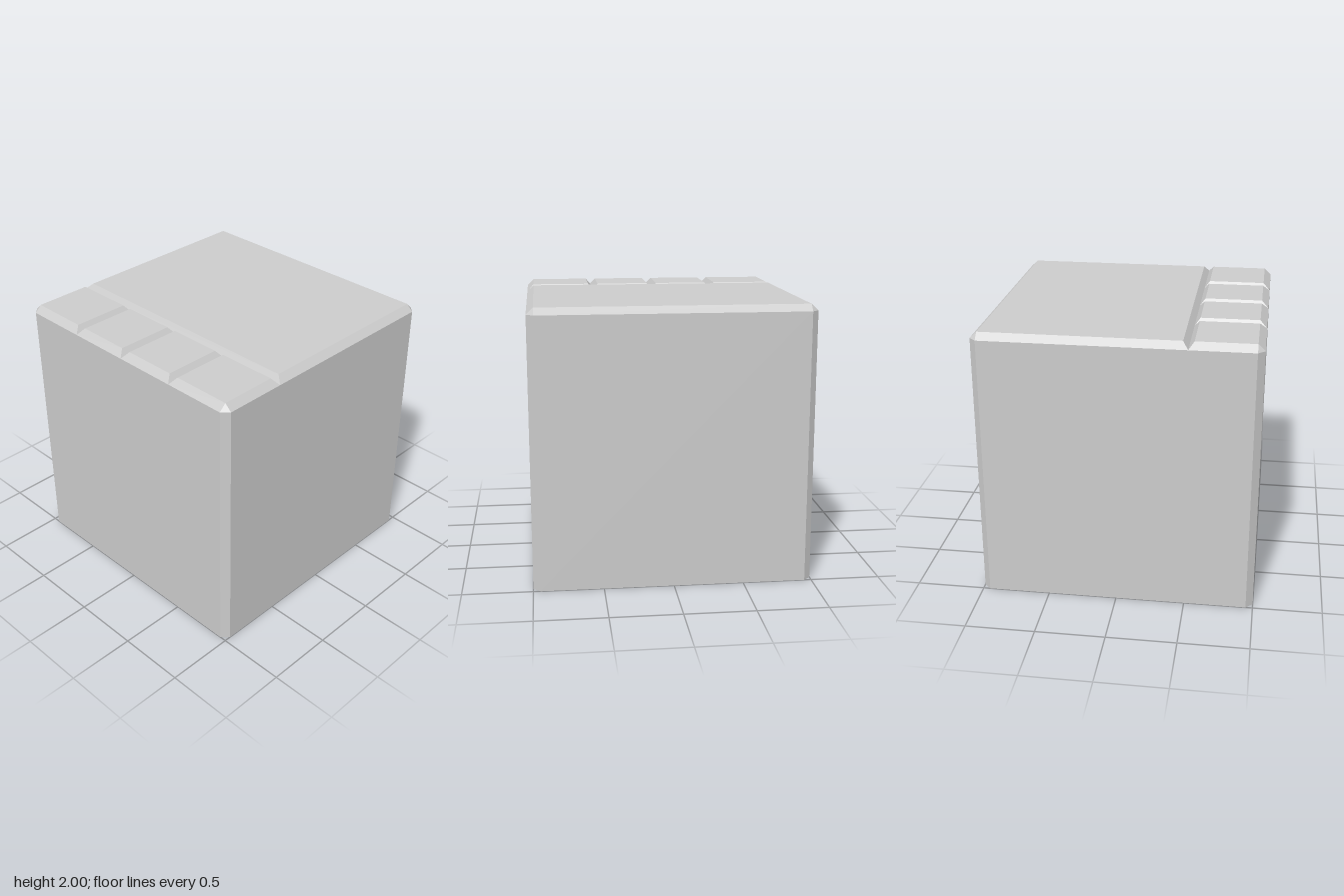
import * as THREE from 'three';

const CUT = 0.05;        // chamfer of the outer edges
const GROOVE_X = 0.038;  // half-width of the grooves between front tiles
const GROOVE_Z = 0.038;  // half-width of the long cross groove
const SEAM_Z = 0.493, RIM = 1.953, TOP = 2;

// Rectangle as 8 points, counter-clockwise from above; corners on the outer edge are cut.
function outline(x0, x1, z0, z1) {
  const cut = (x, z) => (Math.abs(x) === 1 && Math.abs(z) === 1 ? CUT : 0);
  const corner = (x, z) => [cut(x, z), Math.sign(x), Math.sign(z)];
  const points = [];
  [[x1, z1, true], [x1, z0, false], [x0, z0, true], [x0, z1, false]].forEach(([x, z, zLast]) => {
    const [c, sx, sz] = corner(x, z);
    const alongX = [x - c * sx, z], alongZ = [x, z - c * sz];
    points.push(...(zLast ? [alongX, alongZ] : [alongZ, alongX]));
  });
  return points;
}

// Flat-faced loft between two outlines, with optional end caps.
function loft(lower, upper, y0, y1, capBottom, capTop) {
  const positions = [];
  const tri = (a, b, c) => {
    const t = new THREE.Triangle(a, b, c);
    if (t.getArea() > 1e-7) [a, b, c].forEach((p) => positions.push(p.x, p.y, p.z));
  };
  const lo = lower.map(([x, z]) => new THREE.Vector3(x, y0, z));
  const hi = upper.map(([x, z]) => new THREE.Vector3(x, y1, z));
  const n = lo.length;
  for (let i = 0; i < n; i++) {
    const j = (i + 1) % n;
    tri(lo[i], lo[j], hi[j]);
    tri(lo[i], hi[j], hi[i]);
    if (i > 0 && i < n - 1) {
      if (capBottom) tri(lo[0], lo[j], lo[i]);
      if (capTop) tri(hi[0], hi[i], hi[j]);
    }
  }
  const geometry = new THREE.BufferGeometry();
  geometry.setAttribute('position', new THREE.Float32BufferAttribute(positions, 3));
  geometry.computeVertexNormals();
  return geometry;
}

// Raised plate whose sides slope in: wider on outer edges, narrower along grooves.
function plate(x0, x1, z0, z1) {
  const inX = (x) => (Math.abs(x) === 1 ? CUT : GROOVE_X);
  const inZ = (z) => (Math.abs(z) === 1 ? CUT : GROOVE_Z);
  const top = outline(x0 + inX(x0), x1 - inX(x1), z0 + inZ(z0), z1 - inZ(z1));
  return loft(outline(x0, x1, z0, z1), top, RIM, TOP, false, true);
}

export function createModel() {
  const group = new THREE.Group();
  const material = new THREE.MeshStandardMaterial({ color: 0xcccccc, flatShading: true });
  const add = (name, geometry) => {
    const mesh = new THREE.Mesh(geometry, material);
    mesh.name = name;
    group.add(mesh);
  };

  // Block with chamfered upright edges
  const footprint = outline(-1, 1, -1, 1);
  add('body', loft(footprint, footprint, 0, RIM, true, false));

  // Large top plate behind the cross groove
  add('topPlate', plate(-1, 1, -1, SEAM_Z));

  // Row of four tiles along the front edge
  const seams = [-1, -0.475, 0, 0.475, 1];
  for (let i = 0; i < 4; i++) add(`frontTile${i + 1}`, plate(seams[i], seams[i + 1], SEAM_Z, 1));

  return group;
}
